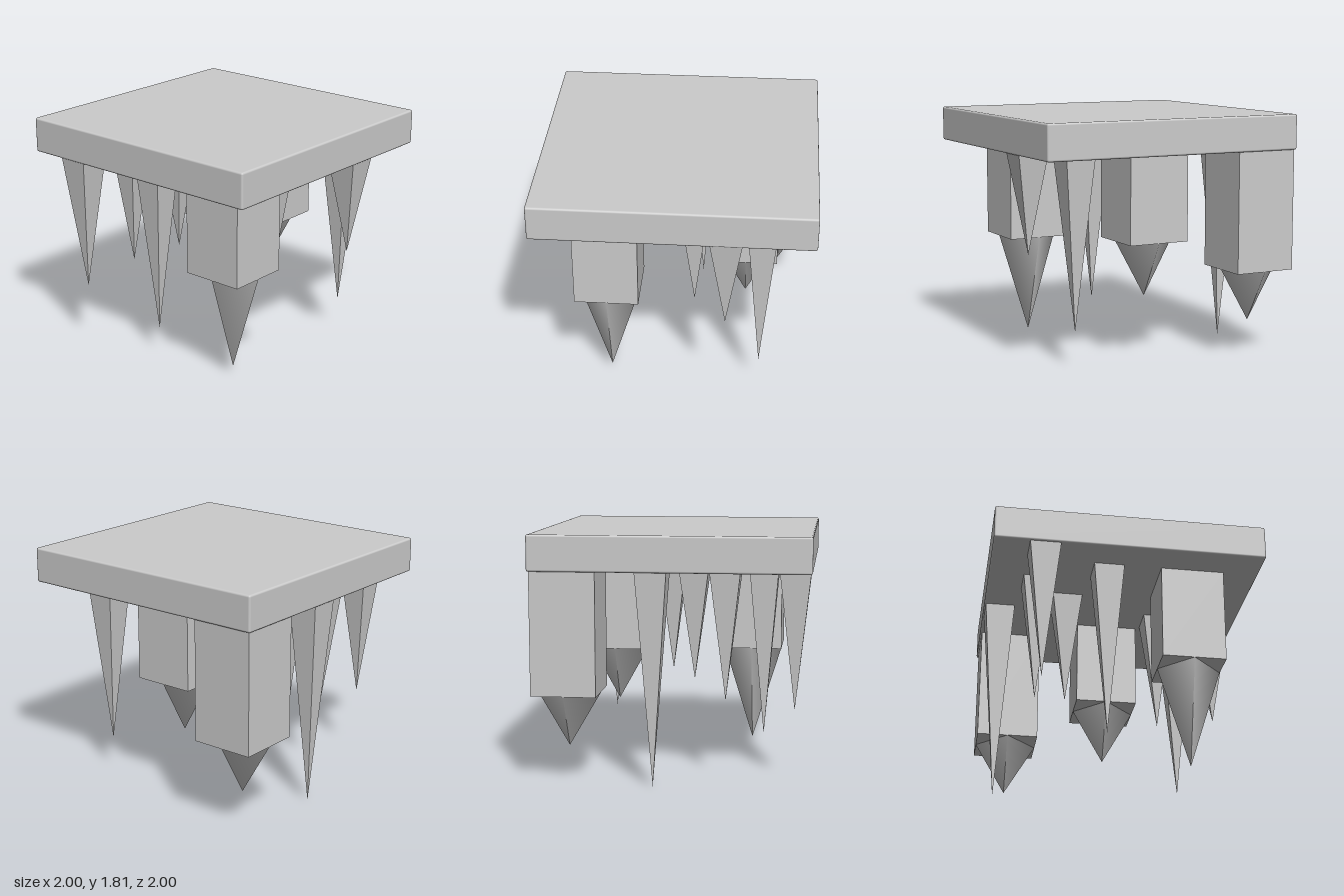
import * as THREE from 'three';
import { RoundedBoxGeometry } from 'three/addons/geometries/RoundedBoxGeometry.js';

const CEILING = 1.55; // underside of the slab
const TOP = 1.81;

export function createModel() {
  const model = new THREE.Group();
  const smooth = new THREE.MeshStandardMaterial({ color: 0xcccccc });
  const flat = new THREE.MeshStandardMaterial({ color: 0xcccccc, flatShading: true });

  const add = (name, geometry, material, x, y, z, parent = model) => {
    const mesh = new THREE.Mesh(geometry, material);
    mesh.name = name;
    mesh.position.set(x, y, z);
    parent.add(mesh);
    return mesh;
  };

  // Four-sided point hanging down from y = top to y = tip
  const pointDown = (radius, top, tip, turn) =>
    new THREE.ConeGeometry(radius, top - tip, 4)
      .rotateX(Math.PI)
      .rotateY(turn)
      .translate(0, (top + tip) / 2, 0);

  // Ceiling slab with softened edges
  add('ceilingSlab', new RoundedBoxGeometry(2, TOP - CEILING, 2, 2, 0.015),
    smooth, 0, (TOP + CEILING) / 2, 0);

  // Thick square columns with a point turned 45 degrees: x, z, column bottom, tip
  const columns = [
    [-0.75, -0.75, 0.66, 0.26],
    [0, -0.5, 0.89, 0.47],
    [0.5, 0.5, 0.83, 0.07],
  ];
  for (const [x, z, bottom, tip] of columns) {
    const column = new THREE.Group();
    column.name = 'hangingColumn';
    column.position.set(x, 0, z);
    model.add(column);
    const height = CEILING - bottom;
    add('columnShaft', new THREE.BoxGeometry(0.47, height, 0.47),
      flat, 0, bottom + height / 2, 0, column);
    add('columnPoint', pointDown(0.235, bottom, tip, 0), smooth, 0, 0, 0, column);
  }

  // Slim square spikes: x, z, tip
  const spikes = [
    [-0.875, -0.125, 0],
    [-0.625, 0.875, 0.53],
    [-0.625, 0.375, 0.59],
    [-0.375, 0.125, 0.7],
    [-0.125, 0.625, 0.24],
    [0.375, -0.125, 0.64],
    [0.625, -0.625, 0.28],
    [0.875, -0.375, 0.82],
  ];
  for (const [x, z, tip] of spikes) {
    add('spike', pointDown(0.1125 * Math.SQRT2, CEILING, tip, Math.PI / 4), flat, x, 0, z);
  }

  return model;
}
